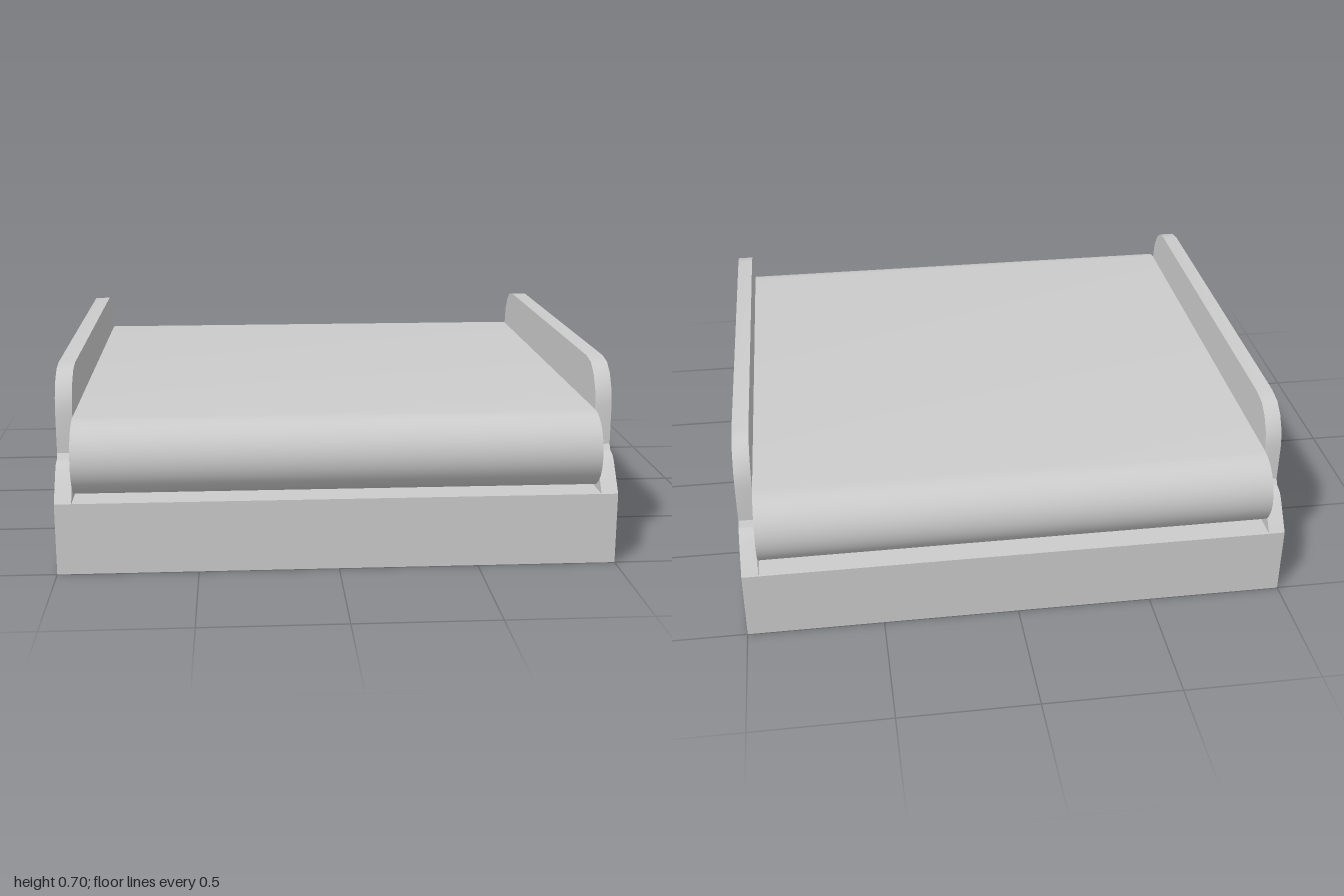
import * as THREE from 'three';
import { toCreasedNormals } from 'three/addons/utils/BufferGeometryUtils.js';

const grey = new THREE.MeshStandardMaterial({ color: 0xcccccc });
const AXLE_Z = 0.86, AXLE_Y = 0.398, BELT_R = 0.138, BELT_INNER = 0.108, INNER_X = 0.94;

// Extrudes a (z, y) outline across x, centred on x = 0.
function extrudeAcross(shape, width) {
  const g = new THREE.ExtrudeGeometry(shape, { depth: width, bevelEnabled: false, curveSegments: 8 });
  g.translate(0, 0, -width / 2);
  g.rotateY(-Math.PI / 2);
  return toCreasedNormals(g, 0.6);
}

function addPart(group, name, geometry, x = 0, y = 0, z = 0) {
  const mesh = new THREE.Mesh(geometry, grey);
  mesh.name = name;
  mesh.position.set(x, y, z);
  group.add(mesh);
}

// Loop around both axles at the given radius.
function stadium(Type, r) {
  const p = new Type();
  p.moveTo(-AXLE_Z, AXLE_Y - r);
  p.lineTo(AXLE_Z, AXLE_Y - r);
  p.absarc(AXLE_Z, AXLE_Y, r, -Math.PI / 2, Math.PI / 2, false);
  p.lineTo(-AXLE_Z, AXLE_Y + r);
  p.absarc(-AXLE_Z, AXLE_Y, r, Math.PI / 2, Math.PI * 1.5, false);
  return p;
}

// Side wall: rounded top corners and a notch that bares the roller ends.
function wallShape() {
  const half = [[1, 0], [1, 0.26], [0.92, 0.362], [0.9, 0.378], [0.87, 0.385], [0.855, 0.405],
    [0.855, 0.55], [0.845, 0.605], [0.81, 0.66], [0.765, 0.692], [0.7, 0.703]];
  const mirrored = half.map(([z, y]) => [-z, y]).reverse();
  return new THREE.Shape([...half, ...mirrored].map(([z, y]) => new THREE.Vector2(z, y)));
}

// Scalloped roller end.
function hubShape() {
  const points = [], teeth = 8, steps = 6;
  for (let i = 0; i < teeth * steps; i++) {
    const a = (i / (teeth * steps)) * Math.PI * 2;
    const r = i % steps < 3 ? 0.1 : i % steps === 4 ? 0.074 : 0.08;
    points.push(new THREE.Vector2(Math.cos(a) * r, Math.sin(a) * r));
  }
  return new THREE.Shape(points);
}

export function createModel() {
  const model = new THREE.Group();
  model.name = 'conveyor';

  addPart(model, 'base', new THREE.BoxGeometry(INNER_X * 2, 0.26, 2), 0, 0.13, 0);

  const belt = stadium(THREE.Shape, BELT_R);
  belt.holes.push(stadium(THREE.Path, BELT_INNER));
  addPart(model, 'belt', extrudeAcross(belt, INNER_X * 2));

  const wall = extrudeAcross(wallShape(), 1 - INNER_X);
  for (const side of [1, -1]) {
    addPart(model, side > 0 ? 'leftWall' : 'rightWall', wall, side * (1 + INNER_X) / 2);
  }

  // Rollers inside the belt, with scalloped hubs at their ends
  const core = new THREE.CylinderGeometry(BELT_INNER, BELT_INNER, 1.8, 24).rotateZ(Math.PI / 2);
  const hub = extrudeAcross(hubShape(), 1.85);
  for (const end of [1, -1]) {
    const name = end > 0 ? 'front' : 'back';
    addPart(model, name + 'Roller', core, 0, AXLE_Y, end * AXLE_Z);
    addPart(model, name + 'RollerHubs', hub, 0, AXLE_Y, end * AXLE_Z);
  }
  return model;
}
